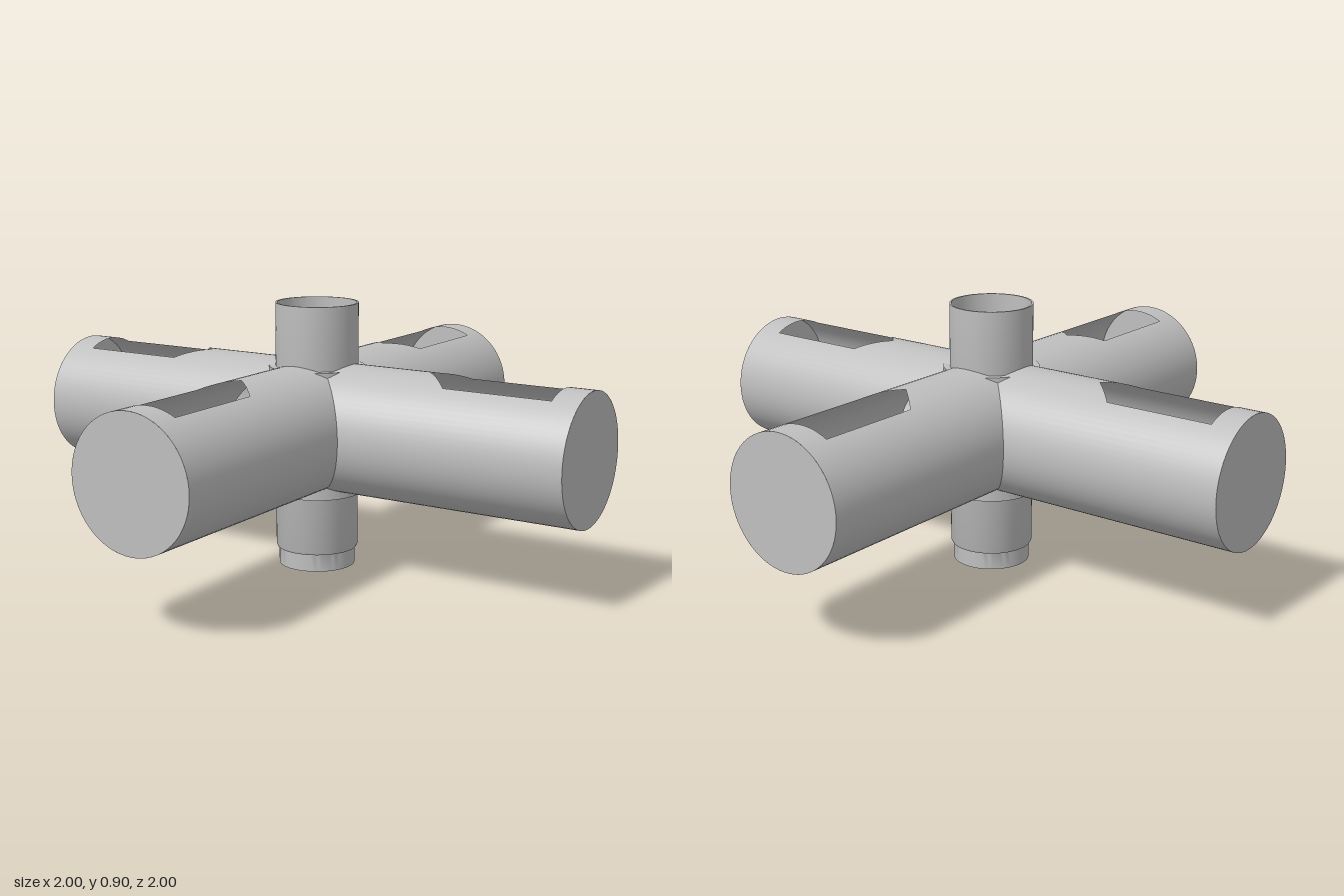
import * as THREE from 'three';
import { toCreasedNormals } from 'three/addons/utils/BufferGeometryUtils.js';

const R = 0.218;      // arm radius
const AXIS = 0.487;   // height of the arm axes
const POST = 0.14;    // radius of the upright tube
const SLOT = 0.1;     // half width of the top openings

// Thin hollow arm along +z: mitred at the hub, trimmed around the post,
// with a pointed opening cut in its top.
function armGeometry() {
  const a = Math.asin(SLOT / R), angles = [];
  for (let i = 0; i < 12; i++) angles.push(-a + (2 * a * i) / 12);
  for (let i = 0; i <= 60; i++) angles.push(a + ((2 * Math.PI - 2 * a) * i) / 60);
  const pos = [], nor = [], idx = [];
  const start = (s) => Math.max(Math.abs(s), Math.sqrt(Math.max(0, (POST - 0.002) ** 2 - s * s)));
  const slotStart = (s) => 0.44 + Math.abs(s) * 0.95;
  const strip = (t0, t1, z0, z1) => {
    const n = pos.length / 3;
    for (const t of [t0, t1]) {
      const x = Math.sin(t), y = Math.cos(t);
      for (const z of [z0, z1]) {
        pos.push(R * x, R * y, z(R * x));
        nor.push(x, y, 0);
      }
    }
    idx.push(n, n + 1, n + 3, n, n + 3, n + 2);
  };
  for (let i = 0; i < angles.length - 1; i++) {
    const t0 = angles[i], t1 = angles[i + 1];
    if (i < 12) {
      strip(t0, t1, start, slotStart);
      strip(t0, t1, () => 0.907, () => 1);
    } else strip(t0, t1, start, () => 1);
  }
  const g = new THREE.BufferGeometry();
  g.setAttribute('position', new THREE.Float32BufferAttribute(pos, 3));
  g.setAttribute('normal', new THREE.Float32BufferAttribute(nor, 3));
  g.setIndex(idx);
  return g;
}

function lathe(points) {
  const profile = points.map(([r, y]) => new THREE.Vector2(r, y));
  return toCreasedNormals(new THREE.LatheGeometry(profile, 64), 0.5);
}

export function createModel() {
  const model = new THREE.Group();
  model.name = 'pipeCross';
  const grey = new THREE.MeshStandardMaterial({ color: 0xbfbfbf, side: THREE.DoubleSide });
  grey.name = 'grey';
  const add = (parent, name, geometry, y = 0, z = 0) => {
    const m = new THREE.Mesh(geometry, grey);
    m.name = name;
    m.position.set(0, y, z);
    parent.add(m);
    return m;
  };

  // Four equal arms with closed outer ends
  const armGeo = armGeometry(), capGeo = new THREE.CircleGeometry(R, 64);
  ['frontArm', 'leftArm', 'backArm', 'rightArm'].forEach((name, i) => {
    const arm = new THREE.Group();
    arm.name = name;
    add(arm, 'armShell', armGeo);
    add(arm, 'endCap', capGeo, 0, 1);
    arm.position.y = AXIS;
    arm.rotation.y = (i * Math.PI) / 2;
    model.add(arm);
  });

  // Upright tube, stepped in at the foot and open at both ends
  add(model, 'uprightTube', lathe([
    [0.122, 0], [0.13, 0], [0.13, 0.06], [0.136, 0.06], [POST, 0.068], [POST, 0.905],
    [0.134, 0.905], [0.134, 0.065], [0.122, 0.06], [0.122, 0],
  ]));

  // Pointed plug inside the tube
  add(model, 'innerCone', new THREE.ConeGeometry(0.134, 0.12, 64, 1, true), 0.66);

  // Collars that show between the arms
  const collar = (r, y0, y1) => lathe([[POST, y0], [r, y0], [r, y1], [POST, y1]]);
  add(model, 'upperCollar', collar(0.162, 0.65, 0.69));
  add(model, 'lowerCollar', collar(0.152, 0.255, 0.305));

  return model;
}
